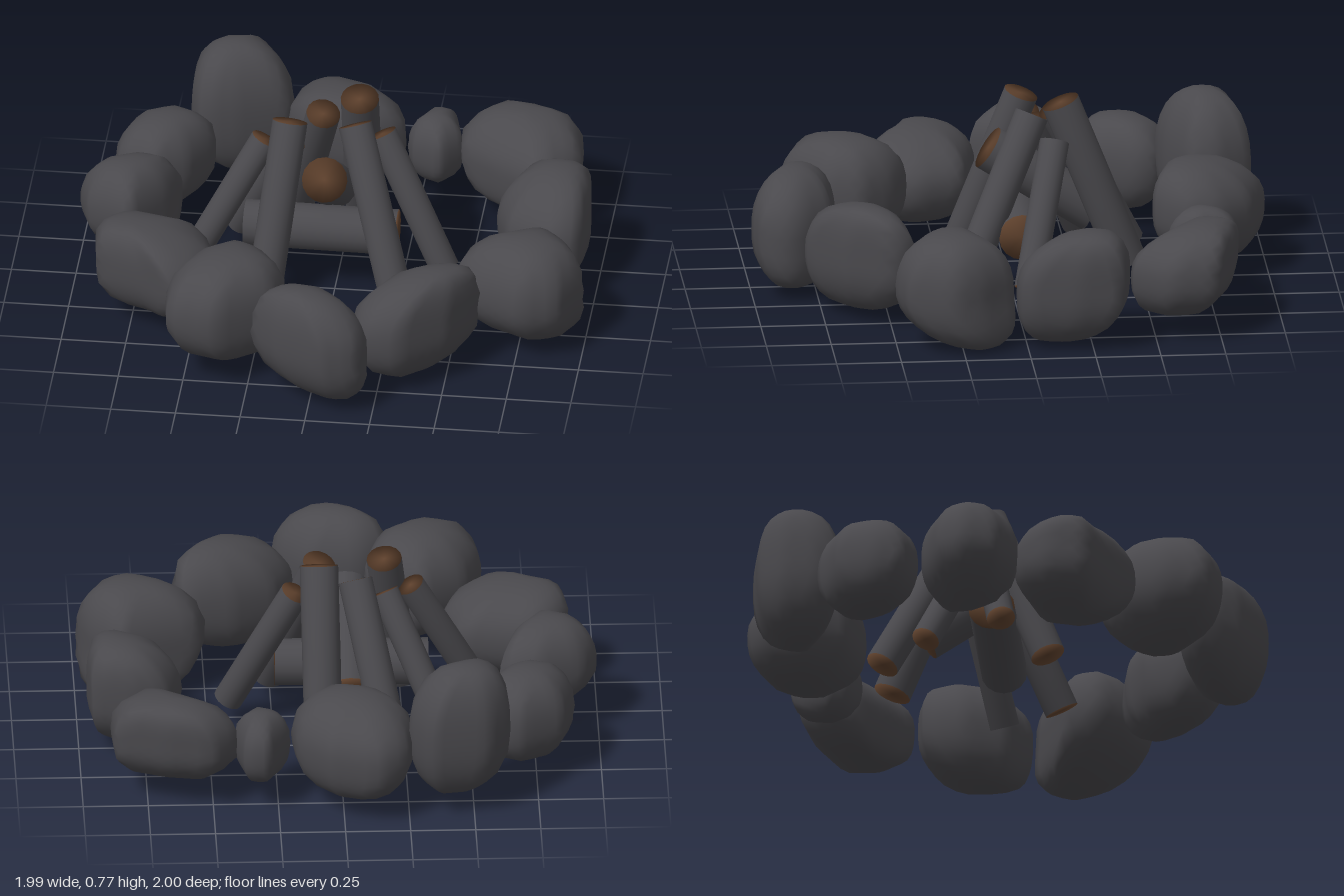
import * as THREE from 'three';
import { mergeVertices } from 'three/addons/utils/BufferGeometryUtils.js';

const charcoal = new THREE.MeshStandardMaterial({ color: 0x4a494d });
charcoal.name = 'charcoal grey';
const wood = new THREE.MeshStandardMaterial({ color: 0x5d402c });
wood.name = 'cut wood brown';

// Weld shared corners so the shading runs smoothly over them
function weld(geo) {
  geo.deleteAttribute('normal');
  geo.deleteAttribute('uv');
  return mergeVertices(geo, 1e-4);
}

// Distance from the middle to a plan outline, along a direction
function planRadius(outline, dx, dz) {
  for (let i = 0; i < outline.length; i++) {
    const a = outline[i];
    const b = outline[(i + 1) % outline.length];
    const ex = b.x - a.x;
    const ez = b.y - a.y;
    const det = dx * ez - dz * ex;
    if (Math.abs(det) < 1e-9) continue;
    const reach = (a.x * ez - a.y * ex) / det;
    const along = (a.x * dz - a.y * dx) / det;
    if (reach > 0 && along >= -1e-6 && along <= 1 + 1e-6) return reach;
  }
  return 0;
}

// Boulder: plan corners (x, z pairs), heights, and how far its top and bottom lean in x and z
function makeStone(name, corners, [bottom, top], topLean, bottomLean) {
  const outline = [];
  for (let i = 0; i < corners.length; i += 2) outline.push(new THREE.Vector2(corners[i], corners[i + 1]));
  const middle = new THREE.Box2().setFromPoints(outline).getCenter(new THREE.Vector2());
  outline.forEach((p) => p.sub(middle));

  const geo = weld(new THREE.IcosahedronGeometry(1, 5));
  const pos = geo.attributes.position;
  const v = new THREE.Vector3();
  const power = 2.35;
  for (let i = 0; i < pos.count; i++) {
    v.fromBufferAttribute(pos, i).normalize();
    const flat = Math.hypot(v.x, v.z);
    const full = (flat ** power + Math.abs(v.y) ** power) ** (-1 / power);
    const radius = flat > 1e-6 ? planRadius(outline, v.x / flat, v.z / flat) : 0;
    const y = v.y * full;
    const lean = y > 0 ? topLean : bottomLean;
    pos.setXYZ(
      i,
      v.x * full * radius + lean[0] * y * y,
      (y * (top - bottom)) / 2,
      v.z * full * radius + lean[1] * y * y,
    );
  }
  geo.computeVertexNormals();
  const stone = new THREE.Mesh(geo, charcoal);
  stone.name = name;
  stone.position.set(middle.x, (top + bottom) / 2, middle.y);
  return stone;
}

// Log between two end centres: grey bark, brown cut ends, softened rims
function makeLog(name, top, foot, radius) {
  const a = new THREE.Vector3(...top);
  const b = new THREE.Vector3(...foot);
  const axis = a.clone().sub(b);
  const geo = weld(new THREE.CylinderGeometry(radius, radius, axis.length(), 16));
  geo.computeVertexNormals();
  const log = new THREE.Mesh(geo, [charcoal, wood, wood]);
  log.name = name;
  log.position.copy(a).add(b).multiplyScalar(0.5);
  log.quaternion.setFromUnitVectors(new THREE.Vector3(0, 1, 0), axis.normalize());
  return log;
}

export function createModel() {
  const model = new THREE.Group();
  model.name = 'campfire';

  // Ring of stones, clockwise from the back
  const ring = new THREE.Group();
  ring.name = 'stoneRing';
  ring.add(
    makeStone('backStone', [-0.14, -1, 0.06, -0.93, 0.18, -0.8, 0.2, -0.67, 0.075, -0.54, -0.18, -0.61,
      -0.28, -0.75, -0.24, -0.93], [0.07, 0.46], [0, 0.06], [0, -0.03]),
    makeStone('smallStone', [0.29, -0.86, 0.38, -0.85, 0.42, -0.68, 0.34, -0.58, 0.23, -0.63, 0.2, -0.7],
      [0.1, 0.38], [0, 0], [0, 0]),
    makeStone('backLeftStone', [0.5, -0.84, 0.68, -0.81, 0.88, -0.73, 0.89, -0.55, 0.75, -0.39, 0.57, -0.51,
      0.42, -0.62, 0.4, -0.73], [0.07, 0.43], [0.02, -0.08], [0, 0.04]),
    makeStone('leftStone', [0.79, -0.4, 0.95, -0.36, 0.97, -0.19, 0.94, 0.02, 0.83, 0.045, 0.66, -0.05,
      0.6, -0.21, 0.66, -0.37], [0.01, 0.46], [0.06, -0.06], [0, 0.05]),
    makeStone('frontLeftStone', [0.83, 0.05, 0.95, 0.18, 1, 0.29, 0.91, 0.465, 0.77, 0.51, 0.59, 0.42,
      0.49, 0.32, 0.52, 0.19], [0, 0.45], [0.03, 0], [0.07, -0.1]),
    makeStone('frontStoneA', [0.57, 0.4, 0.62, 0.5, 0.51, 0.67, 0.33, 0.82, 0.19, 0.79, 0.14, 0.67,
      0.22, 0.52, 0.38, 0.43], [0.03, 0.46], [0.08, -0.02], [-0.02, 0]),
    makeStone('frontStoneB', [-0.1, 0.66, 0.09, 0.69, 0.2, 0.8, 0.23, 0.87, 0.19, 0.97, 0.06, 1, -0.13, 0.9,
      -0.24, 0.79, -0.2, 0.71], [0.03, 0.48], [-0.03, 0], [0.08, 0]),
    makeStone('frontStoneC', [-0.34, 0.36, -0.21, 0.43, -0.12, 0.56, -0.155, 0.7, -0.37, 0.86, -0.56, 0.8,
      -0.58, 0.64, -0.51, 0.48], [0.07, 0.5], [0.02, 0], [0.04, 0]),
    makeStone('frontRightStone', [-0.74, 0.07, -0.475, 0.135, -0.41, 0.32, -0.45, 0.44, -0.555, 0.54, -0.69, 0.44,
      -0.88, 0.36, -0.9, 0.21, -0.82, 0.1], [0.06, 0.42], [-0.08, 0], [0, 0]),
    makeStone('rightStone', [-0.755, -0.29, -0.615, -0.25, -0.65, -0.09, -0.78, 0.1, -0.955, 0.015, -1, -0.11,
      -0.94, -0.21], [0.08, 0.46], [0, 0], [0.08, 0]),
    makeStone('backRightStone', [-0.68, -0.69, -0.53, -0.615, -0.52, -0.53, -0.61, -0.37, -0.73, -0.29, -0.88, -0.35,
      -0.9, -0.45, -0.85, -0.6], [0.07, 0.44], [0, 0], [0, 0]),
    makeStone('tallStone', [-0.33, -0.96, -0.25, -0.82, -0.26, -0.72, -0.45, -0.63, -0.58, -0.6, -0.635, -0.695,
      -0.64, -0.83, -0.555, -0.925], [0.07, 0.61], [-0.03, -0.01], [0.02, 0]),
  );
  model.add(ring);

  // Leaning and lying firewood: top centre, foot centre, radius
  const logs = [
    ['frontRightLog', [-0.18, 0.70, -0.06], [-0.25, 0.09, 0.17], 0.068],
    ['frontLeftLog', [0.07, 0.69, -0.08], [0.26, 0.09, 0.19], 0.066],
    ['backLeftLog', [0.075, 0.74, -0.19], [0.065, 0.09, -0.45], 0.074],
    ['backRightLog', [-0.065, 0.67, -0.18], [-0.20, 0.09, -0.47], 0.066],
    ['rightLog', [-0.28, 0.60, -0.085], [-0.55, 0.11, 0.01], 0.055],
    ['farRightLog', [-0.18, 0.58, -0.10], [-0.40, 0.10, -0.29], 0.055],
    ['leftLog', [0.165, 0.61, -0.16], [0.42, 0.10, -0.04], 0.057],
    ['restingLog', [-0.03, 0.53, 0.08], [-0.04, 0.27, -0.32], 0.088],
    ['lyingLog', [0.24, 0.25, -0.03], [-0.35, 0.25, -0.04], 0.09],
  ];
  const pile = new THREE.Group();
  pile.name = 'firewood';
  logs.forEach((l) => pile.add(makeLog(...l)));
  model.add(pile);

  return model;
}
